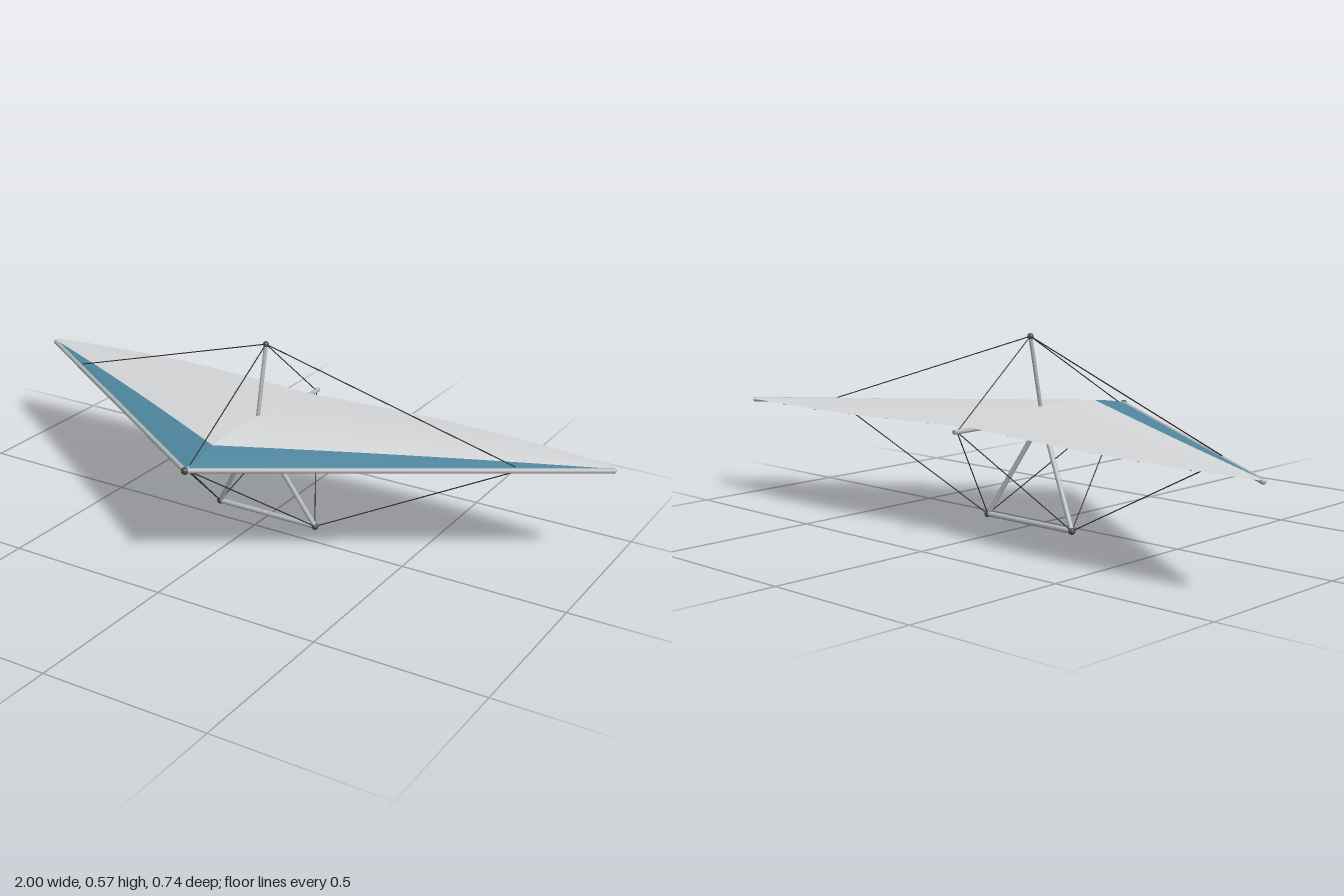
import * as THREE from 'three';

const V = (x, y, z) => new THREE.Vector3(x, y, z);
const mat = (name, color, side = THREE.FrontSide) => {
  const m = new THREE.MeshStandardMaterial({ color, side });
  m.name = name;
  return m;
};

// Point on the sail: x is the span position, chordPos runs from leading (0) to trailing edge (1)
function sailPoint(x, chordPos) {
  const s = THREE.MathUtils.clamp(chordPos, 0, 1);
  const a = Math.abs(x);
  const zLead = 0.355 - 0.662 * a;
  const zTrail = -0.31 - 0.015 * a - 0.037 * Math.sin(Math.PI * a);
  const chord = zLead - zTrail;
  const camber = 0.046 * chord * Math.sin(Math.PI * Math.pow(s, 0.85));
  return V(x, 0.321 - 0.014 * a + 0.002 * s + camber, zLead - chord * s);
}

export function createModel() {
  const group = new THREE.Group();
  group.name = 'hangGlider';
  const sailGrey = mat('sail pale grey', 0xd4d6d7, THREE.DoubleSide);
  const sailBlue = mat('sail blue', 0x4f87a0, THREE.DoubleSide);
  const tubeGrey = mat('tube grey', 0xb6babb);
  const dark = mat('dark fittings', 0x4a4e50);
  const wire = mat('wire', 0x2c2f31);

  const add = (name, geometry, material) => {
    const mesh = new THREE.Mesh(geometry, material);
    mesh.name = name;
    group.add(mesh);
    return mesh;
  };
  // Straight round bar between two points
  const bar = (name, a, b, r, material, sides = 14) => {
    const mesh = add(name, new THREE.CylinderGeometry(r, r, a.distanceTo(b), sides), material);
    mesh.position.copy(a).add(b).multiplyScalar(0.5);
    mesh.quaternion.setFromUnitVectors(V(0, 1, 0), b.clone().sub(a).normalize());
  };
  const ball = (name, p, r, material) =>
    add(name, new THREE.SphereGeometry(r, 16, 12), material).position.copy(p);

  // One cambered sail panel on one side, between two chord fractions
  const panel = (name, side, s0, s1, rows, material) => {
    const g = new THREE.PlaneGeometry(0.996, s1 - s0, 40, rows);
    g.translate(side * 0.498, (s0 + s1) / 2, 0);
    const p = g.attributes.position;
    for (let i = 0; i < p.count; i++) {
      const q = sailPoint(p.getX(i), p.getY(i));
      p.setXYZ(i, q.x, q.y, q.z);
    }
    g.computeVertexNormals();
    add(name, g, material);
  };

  const nose = V(0, 0.317, 0.36);
  const tail = V(0, 0.316, -0.36);
  const mastTop = V(0, 0.56, -0.062);
  const crossCentre = V(0, 0.306, -0.045);

  // Keel, mast and control bar
  bar('keel', nose, V(0, 0.316, -0.372), 0.007, tubeGrey);
  bar('mast', V(0, 0.315, -0.012), mastTop, 0.006, tubeGrey);
  bar('baseBar', V(-0.17, 0.0105, -0.07), V(0.17, 0.0105, -0.07), 0.008, tubeGrey);
  ball('noseFitting', V(0, 0.317, 0.361), 0.011, dark);
  ball('mastCap', mastTop, 0.009, dark);
  ball('crossbarFitting', crossCentre, 0.008, dark);

  // Upper centre rigging
  bar('upperFrontWire', mastTop, V(0, 0.322, 0.34), 0.0017, wire, 6);
  bar('upperRearWire', mastTop, tail, 0.0017, wire, 6);

  for (const side of [-1, 1]) {
    const hand = side > 0 ? 'left' : 'right';
    const tip = V(side * 0.992, 0.303, -0.304);
    const joint = V(side * 0.77, 0.307, -0.153);
    const corner = V(side * 0.17, 0.0105, -0.07);

    // Frame
    bar(hand + 'LeadingEdge', nose, tip, 0.0075, tubeGrey);
    ball(hand + 'TipCap', tip, 0.008, tubeGrey);
    bar(hand + 'Crossbar', crossCentre, joint, 0.0055, tubeGrey);
    bar(hand + 'Downtube', V(0, 0.312, -0.012), corner, 0.0075, tubeGrey);
    ball(hand + 'ControlCorner', corner, 0.0105, dark);

    // Rigging
    bar(hand + 'UpperSideWire', mastTop, V(side * 0.76, 0.316, -0.155), 0.0017, wire, 6);
    bar(hand + 'LowerSideWire', corner, joint, 0.0017, wire, 6);
    bar(hand + 'LowerFrontWire', corner, V(0, 0.315, 0.35), 0.0017, wire, 6);
    bar(hand + 'LowerRearWire', corner, tail, 0.0017, wire, 6);

    // Sail
    panel(hand + 'SailBand', side, 0, 0.2, 8, sailBlue);
    panel(hand + 'SailPanel', side, 0.2, 1, 20, sailGrey);

    // Battens under the sail
    for (const x of [0.16, 0.32, 0.48, 0.64, 0.8]) {
      const points = [];
      for (let i = 0; i <= 8; i++) {
        points.push(sailPoint(side * x, 0.06 + 0.93 * i / 8).add(V(0, -0.002, 0)));
      }
      add(hand + 'Batten', new THREE.TubeGeometry(new THREE.CatmullRomCurve3(points), 20, 0.002, 6), dark);
    }
  }
  return group;
}
